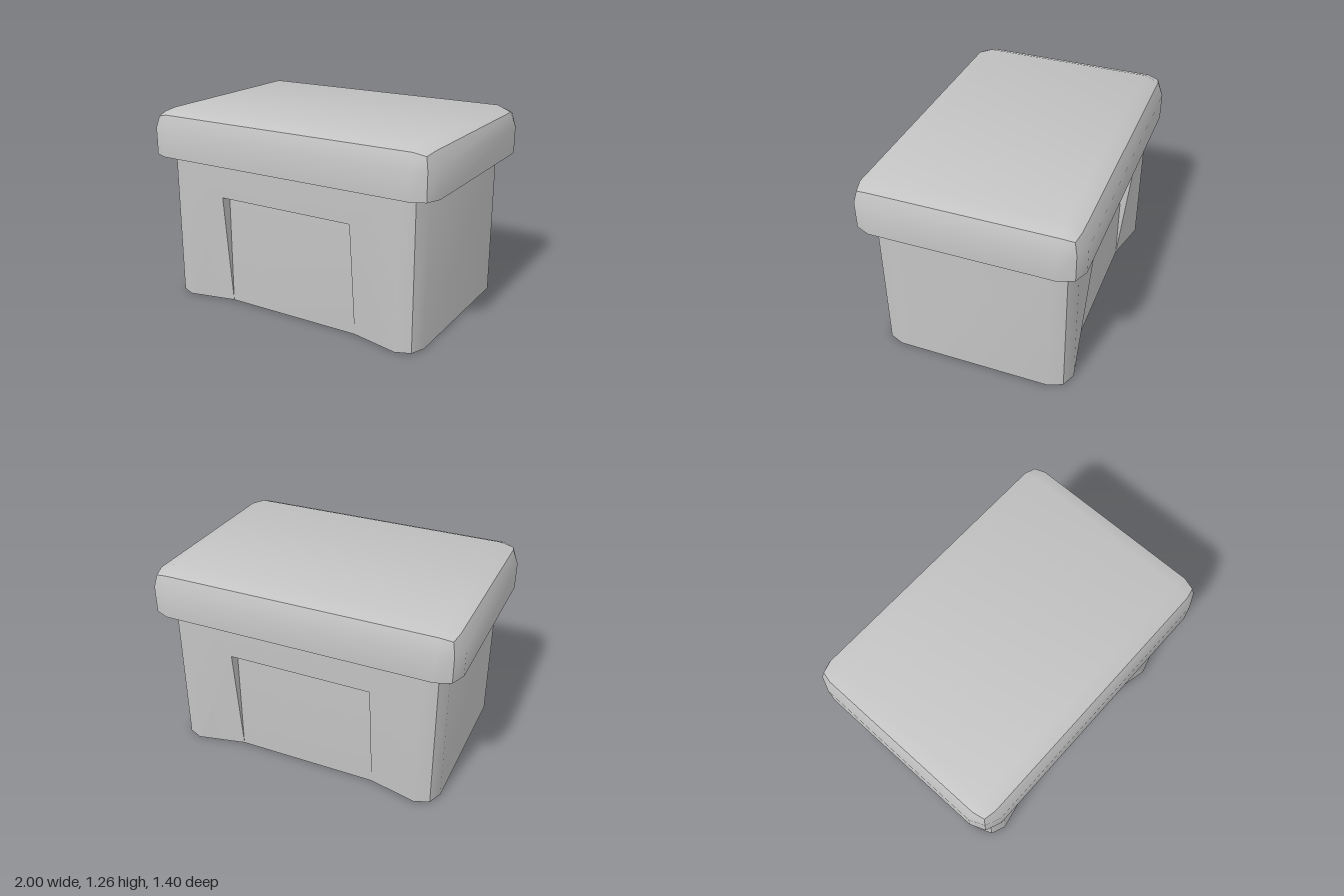
import * as THREE from 'three';
import { toCreasedNormals } from 'three/addons/utils/BufferGeometryUtils.js';

const R = 0.13;          // corner radius, rounded in two steps
const CREASE = 0.6;
const LID_BOTTOM = 0.96;

// Lid: a subdivided box whose outer rows wrap round the corners and top edge
function lidGeometry() {
  const geometry = new THREE.BoxGeometry(1, 1, 1, 3, 2, 3);
  const pos = geometry.attributes.position;
  const dir = new THREE.Vector3();
  const outer = (v) => (Math.abs(v) > 0.3 ? Math.sign(v) : 0);
  for (let i = 0; i < pos.count; i++) {
    const x = pos.getX(i), y = pos.getY(i), z = pos.getZ(i);
    dir.set(outer(x), y > 0.3 ? 1 : 0, outer(z)).normalize().multiplyScalar(R);
    pos.setXYZ(i,
      Math.sign(x) * (1 - R) + dir.x,
      y < -0.3 ? LID_BOTTOM : 1.265 - R + dir.y,
      Math.sign(z) * (0.7 - R) + dir.z);
  }
  return toCreasedNormals(geometry, CREASE);
}

// Half outline of the body (x, z), from the front to the back on the +x side
const W = 0.905, D = 0.63, K = R * (1 - Math.SQRT1_2);
const side = [
  [W - R, D], [W - K, D - K], [W, D - R],
  [W, R - D], [W - K, K - D], [W - R, -D],
];
const panel = { x: 0.465, top: 0.735, z: 0.56 };

// Body walls: rounded sides, and a front and back that slope into a recess
function wallGeometry() {
  const verts = [];
  for (const s of [1, -1]) {
    const tri = (...points) => points.forEach(([x, y, z]) => verts.push(s * x, y, s * z));
    const quad = (a, b, c, d) => { tri(a, b, c); tri(a, c, d); };
    const flip = ([x, y, z]) => [-x, y, z];

    // rounded side
    for (let i = 0; i < side.length - 1; i++) {
      const [px, pz] = side[i], [qx, qz] = side[i + 1];
      quad([px, 0, pz], [qx, 0, qz], [qx, LID_BOTTOM, qz], [px, LID_BOTTOM, pz]);
    }

    // surround, meeting the recessed panel at the ground
    const a = [W - R, 0, D], b = [W - R, LID_BOTTOM, D];
    const c = [panel.x, panel.top, D], d = [panel.x, 0, panel.z];
    const e = [panel.x, panel.top, panel.z];
    quad(a, b, c, d);
    quad(flip(a), flip(d), flip(c), flip(b));
    quad(flip(c), c, b, flip(b));

    // recess: panel, ceiling and tapered cheeks
    quad(flip(d), d, e, flip(e));
    quad(flip(e), e, c, flip(c));
    tri(d, c, e);
    tri(flip(d), flip(e), flip(c));
  }
  const geometry = new THREE.BufferGeometry();
  geometry.setAttribute('position', new THREE.Float32BufferAttribute(verts, 3));
  return toCreasedNormals(geometry, CREASE);
}

// Underside: the ground outline with the notches at front and back
function baseGeometry() {
  const half = [[panel.x, panel.z], ...side, [panel.x, -panel.z]];
  const outline = [...half, ...half.map(([x, z]) => [-x, -z])];
  const shape = new THREE.Shape(outline.map(([x, z]) => new THREE.Vector2(x, z)));
  return new THREE.ShapeGeometry(shape).rotateX(Math.PI / 2);
}

export function createModel() {
  const group = new THREE.Group();
  group.name = 'lidded box';
  const grey = new THREE.MeshStandardMaterial({ color: 0xc4c4c4 });
  grey.name = 'light grey';

  const add = (name, geometry) => {
    const mesh = new THREE.Mesh(geometry, grey);
    mesh.name = name;
    group.add(mesh);
  };
  add('lid', lidGeometry());
  add('body walls', wallGeometry());
  add('body base', baseGeometry());
  return group;
}
